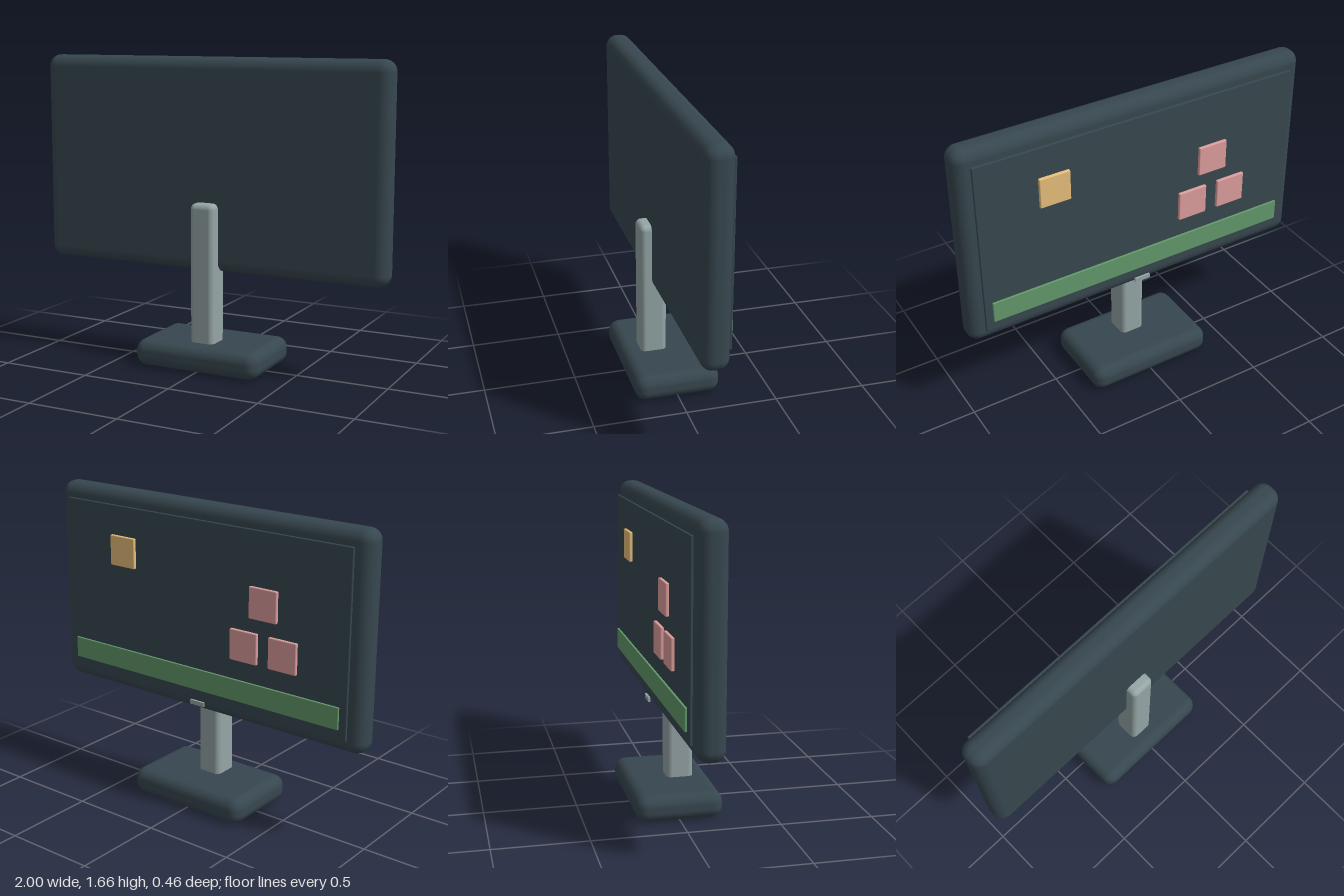
import * as THREE from 'three';
import { RoundedBoxGeometry } from 'three/addons/geometries/RoundedBoxGeometry.js';

const material = (name, color) => {
  const m = new THREE.MeshStandardMaterial({ color });
  m.name = name;
  return m;
};

export function createModel() {
  const slate = material('slate', 0x37474f);
  const grey = material('grey', 0x95a5a6);
  const green = material('green', 0x62986a);
  const rose = material('rose', 0xdd9c9c);
  const gold = material('gold', 0xf0c580);

  const group = new THREE.Group();
  group.name = 'monitor';

  // Rounded box given by its extents along each axis
  const part = (name, mat, [x0, x1], [y0, y1], [z0, z1], radius, segments = 5) => {
    const size = [x1 - x0, y1 - y0, z1 - z0];
    const geometry = radius
      ? new RoundedBoxGeometry(...size, segments, radius)
      : new THREE.BoxGeometry(...size);
    const mesh = new THREE.Mesh(geometry, mat);
    mesh.name = name;
    mesh.position.set((x0 + x1) / 2, (y0 + y1) / 2, (z0 + z1) / 2);
    group.add(mesh);
  };

  // Stand
  part('base', slate, [-0.363, 0.363], [0, 0.145], [-0.232, 0.232], 0.06);
  part('neck', grey, [-0.07, 0.07], [0.07, 0.897], [-0.011, 0.134], 0.03);

  // Housing and the screen panel just off its rear face
  part('housing', slate, [-1, 1], [0.525, 1.662], [-0.073, 0.073], 0.063);
  part('screen', slate, [-0.92, 0.92], [0.602, 1.582], [-0.095, -0.08], 0.005, 2);

  // Shapes shown on the screen
  part('groundStrip', green, [-0.88, 0.88], [0.66, 0.778], [-0.11, -0.097], 0.003, 2);
  const tile = (name, mat, x, y) =>
    part(name, mat, [x - 0.085, x + 0.085], [y - 0.084, y + 0.084], [-0.119, -0.099], 0.006, 2);
  tile('goldTile', gold, 0.505, 1.338);
  tile('roseTileTop', rose, -0.425, 1.214);
  tile('roseTileLeft', rose, -0.307, 0.971);
  tile('roseTileRight', rose, -0.547, 0.971);

  // Indicator light under the screen
  part('indicator', grey, [-0.045, 0.045], [0.572, 0.596], [-0.11, -0.098], 0);

  return group;
}
